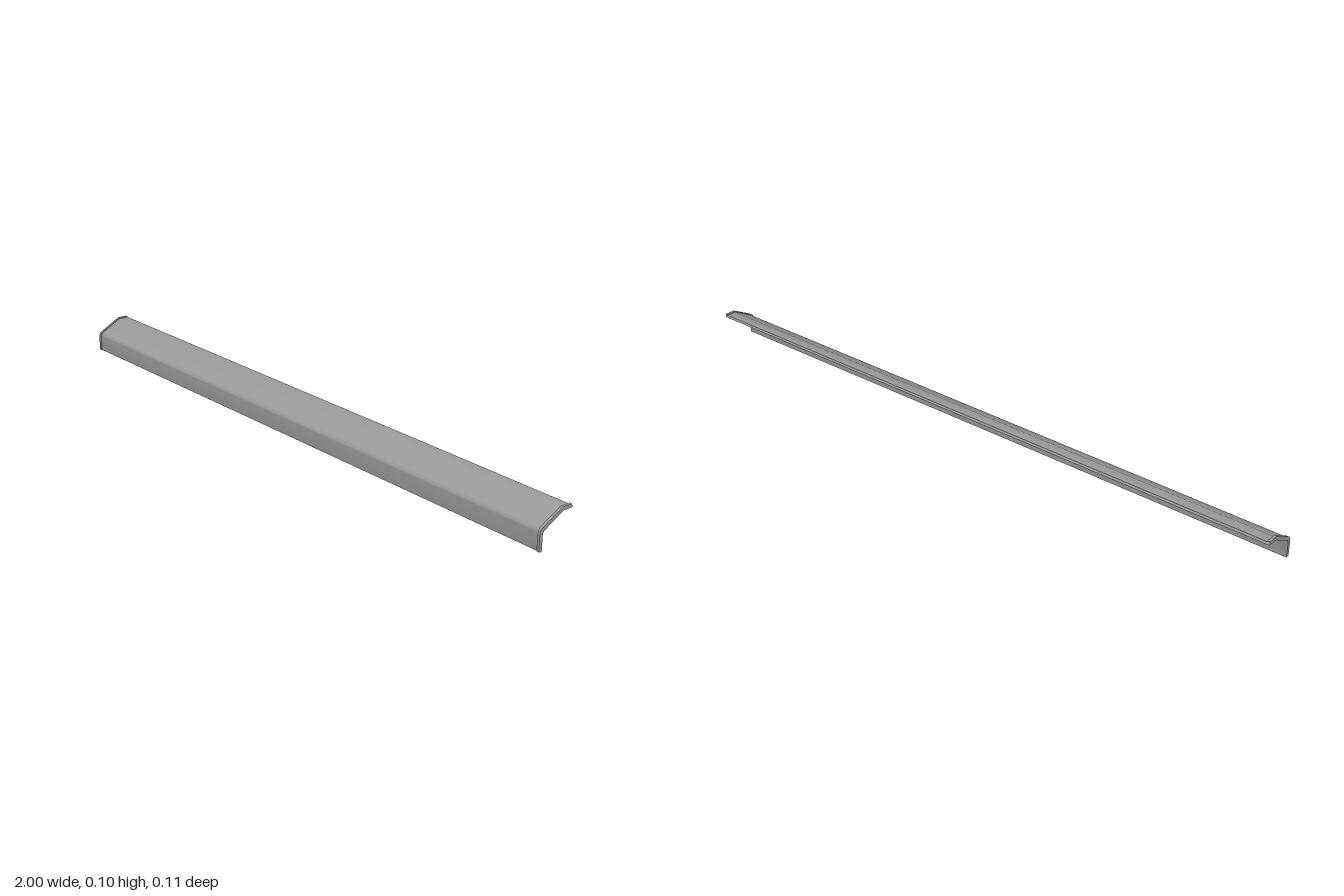
import * as THREE from 'three';
import { toCreasedNormals } from 'three/addons/utils/BufferGeometryUtils.js';

// Bent-strip cross-section in (z, y); inset thins the sheet from its outer face
function stripProfile(inset) {
  const s = new THREE.Shape(), i = inset;
  s.moveTo(0.0455, 0);
  s.lineTo(0.0555 - i, 0.002);
  s.lineTo(0.0555 - i, 0.045);
  s.bezierCurveTo(0.0555 - i, 0.054 - i * 0.3, 0.052 - i, 0.061 - i * 0.6, 0.044 - i * 0.5, 0.0655 - i * 0.9);
  s.lineTo(-0.0205 - i * 0.3, 0.1 - i);
  s.lineTo(-0.0525, 0.1 - i);
  s.lineTo(-0.055, 0.09);
  s.lineTo(-0.0235, 0.09);
  s.lineTo(0.039, 0.0555);
  s.quadraticCurveTo(0.0455, 0.052, 0.0455, 0.044);
  return s;
}

// Extrude a profile along x, centred on x; all gentle bends are shaded smooth
function strip(name, inset, length, x, material) {
  const geo = new THREE.ExtrudeGeometry(stripProfile(inset), { depth: length, bevelEnabled: false, curveSegments: 6 });
  geo.rotateY(-Math.PI / 2);
  geo.translate(length / 2 + x, 0, 0);
  const mesh = new THREE.Mesh(toCreasedNormals(geo, 0.65), material);
  mesh.name = name;
  return mesh;
}

export function createModel() {
  const group = new THREE.Group();
  group.name = 'bentTrimStrip';
  const material = new THREE.MeshStandardMaterial({ color: 0x9c9c9c });
  const rim = 0.008;

  // Long bent panel
  group.add(strip('panel', 0.003, 2 - 2 * rim, 0, material));

  // Raised rims closing both ends
  for (const side of [1, -1]) {
    group.add(strip(side > 0 ? 'leftEndRim' : 'rightEndRim', 0, rim, side * (1 - rim / 2), material));
  }
  return group;
}
